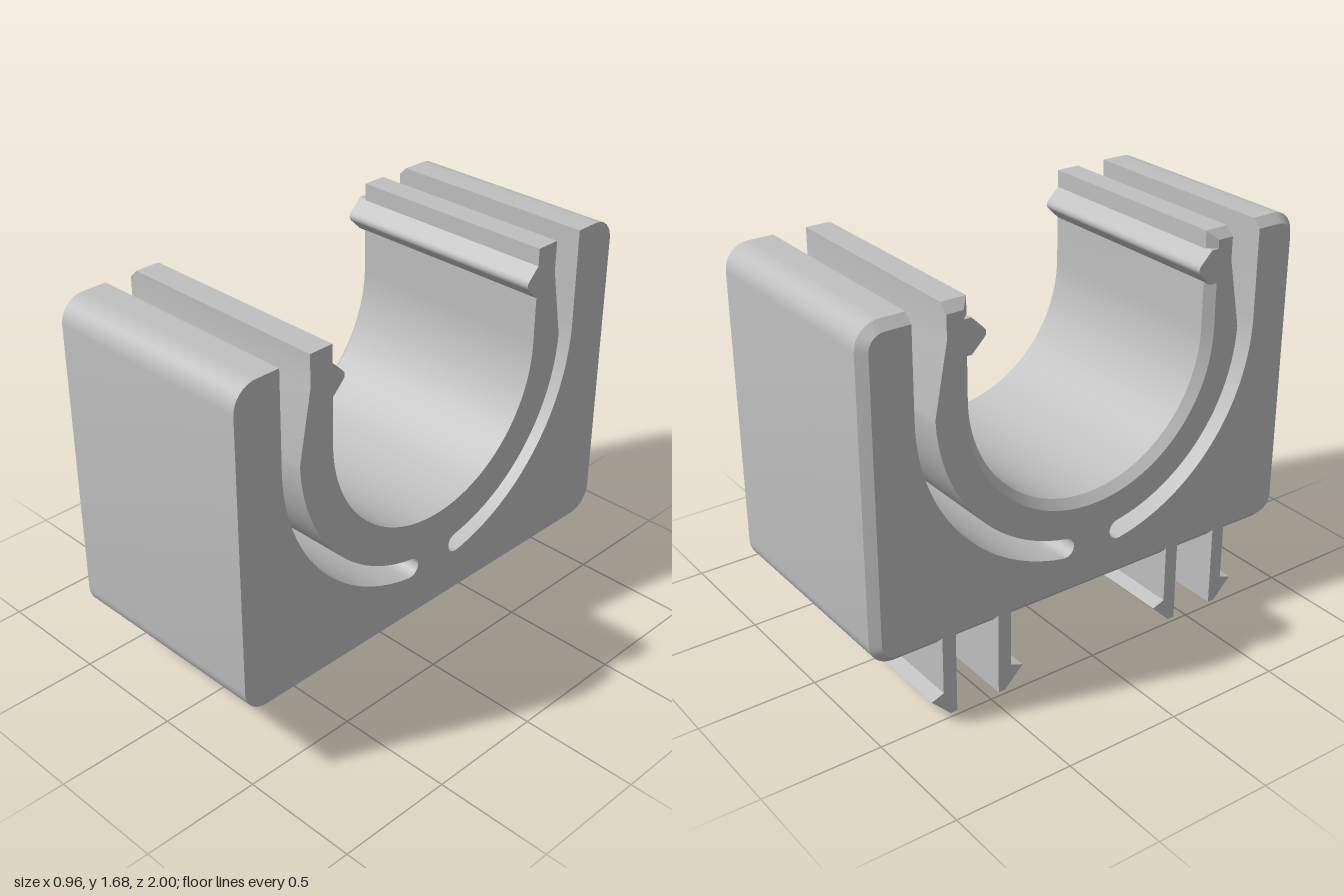
import * as THREE from 'three';
import { toCreasedNormals } from 'three/addons/utils/BufferGeometryUtils.js';

const V = (z, y) => new THREE.Vector2(z, y);
const X0 = -0.48, X1 = 0.48, CHAMFER = 0.035;

// Points on an arc in the z-y plane, angles in degrees
function arc(cz, cy, r, a0, a1, n) {
  return Array.from({ length: n + 1 }, (_, i) => {
    const a = THREE.MathUtils.degToRad(a0 + (a1 - a0) * i / n);
    return V(cz + r * Math.cos(a), cy + r * Math.sin(a));
  });
}

const mirror = pts => pts.map(p => V(-p.x, p.y)).reverse();

// Move each edge k of a closed outline inwards by dist(k)
function insetOutline(pts, dist) {
  const n = pts.length;
  const normal = k => {
    const a = pts[k], b = pts[(k + 1) % n];
    return V(a.y - b.y, b.x - a.x).normalize();
  };
  return pts.map((p, k) => {
    const j = (k + n - 1) % n;
    const a = normal(j), b = normal(k), da = dist(j), db = dist(k);
    const det = a.x * b.y - a.y * b.x;
    if (Math.abs(det) < 1e-4) return V(p.x + b.x * db, p.y + b.y * db);
    return V(p.x + (da * b.y - db * a.y) / det, p.y + (a.x * db - b.x * da) / det);
  });
}

// Solid through matching z-y outlines placed at rising x
function loft(sections) {
  const pos = [];
  const put = (...list) => list.forEach(([x, p]) => pos.push(x, p.y, p.x));
  for (let s = 0; s < sections.length - 1; s++) {
    const [xa, a] = sections[s], [xb, b] = sections[s + 1];
    a.forEach((p, k) => {
      const m = (k + 1) % a.length;
      if (p.distanceTo(b[k]) + a[m].distanceTo(b[m]) + Math.abs(xa - xb) < 1e-6) return;
      put([xa, p], [xb, b[k]], [xb, b[m]]);
      put([xa, p], [xb, b[m]], [xa, a[m]]);
    });
  }
  const [xs, first] = sections[0], [xe, last] = sections[sections.length - 1];
  for (const [i, j, k] of THREE.ShapeUtils.triangulateShape(first.slice(), []))
    put([xs, first[i]], [xs, first[j]], [xs, first[k]]);
  for (const [i, j, k] of THREE.ShapeUtils.triangulateShape(last.slice(), []))
    put([xe, last[i]], [xe, last[k]], [xe, last[j]]);
  const g = new THREE.BufferGeometry();
  g.setAttribute('position', new THREE.Float32BufferAttribute(pos, 3));
  return toCreasedNormals(g, 0.5);
}

export function createModel() {
  const group = new THREE.Group();
  const grey = new THREE.MeshStandardMaterial({ color: 0xc0c0c0 });
  grey.name = 'light grey';
  const add = (name, geometry) => {
    const mesh = new THREE.Mesh(geometry, grey);
    mesh.name = name;
    group.add(mesh);
  };

  // Half of the body outline: block corners, curved slot, spring arm, bore
  const cy = 1.28, slotEnd = -80;
  const endA = THREE.MathUtils.degToRad(slotEnd), rMid = 0.7525;
  const block = [...arc(0.9, 0.42, 0.1, -90, 0, 8), ...arc(0.9, 1.58, 0.1, 0, 90, 8)];
  const slot = [
    V(0.795, 1.68),
    ...arc(0, cy, 0.795, 0, slotEnd, 32),
    ...arc(rMid * Math.cos(endA), cy + rMid * Math.sin(endA), 0.0425, slotEnd, slotEnd - 180, 10).slice(1, -1),
    ...arc(0, cy, 0.71, slotEnd, -1.5, 32),
    V(0.655, 1.55), V(0.655, 1.68),
  ];
  const bore = [V(0.55, 1.68), ...arc(0, cy, 0.55, 0, -90, 32)];
  const half = [...block, ...slot, ...bore];
  const n = half.length;
  const outline = [...half, ...mirror(half).slice(1)];

  // One end is chamfered everywhere except along the slots
  const s = block.length, e = s + slot.length - 1;
  const bevelled = insetOutline(outline, k => {
    const j = k < n - 1 ? k : 2 * n - 3 - k;
    return j >= s && j < e ? 0 : CHAMFER;
  });
  add('clampBody', loft([[X0, bevelled], [X0 + CHAMFER, outline], [X1, outline]]));

  // Snap ridges inside the arm tips, and barbed mounting legs
  const ridge = [V(0.6, 1.47), V(0.6, 1.61), V(0.553, 1.61),
    V(0.502, 1.56), V(0.494, 1.55), V(0.492, 1.54), V(0.494, 1.53), V(0.502, 1.52), V(0.553, 1.47)];
  const outerLeg = [V(0.645, 0), V(0.675, 0), V(0.76, 0.085), V(0.705, 0.105), V(0.705, 0.36), V(0.645, 0.36)];
  const innerLeg = outerLeg.map(p => V(1.095 - p.x, p.y)).reverse();
  const parts = [['snapRidge', ridge, X1], ['outerLeg', outerLeg, -0.155], ['innerLeg', innerLeg, -0.155]];
  for (const [name, pts, xEnd] of parts) {
    const ccw = THREE.ShapeUtils.isClockWise(pts) ? pts.slice().reverse() : pts;
    add(name + 'Front', loft([[X0, ccw], [xEnd, ccw]]));
    const back = mirror(ccw);
    add(name + 'Back', loft([[X0, back], [xEnd, back]]));
  }
  return group;
}
